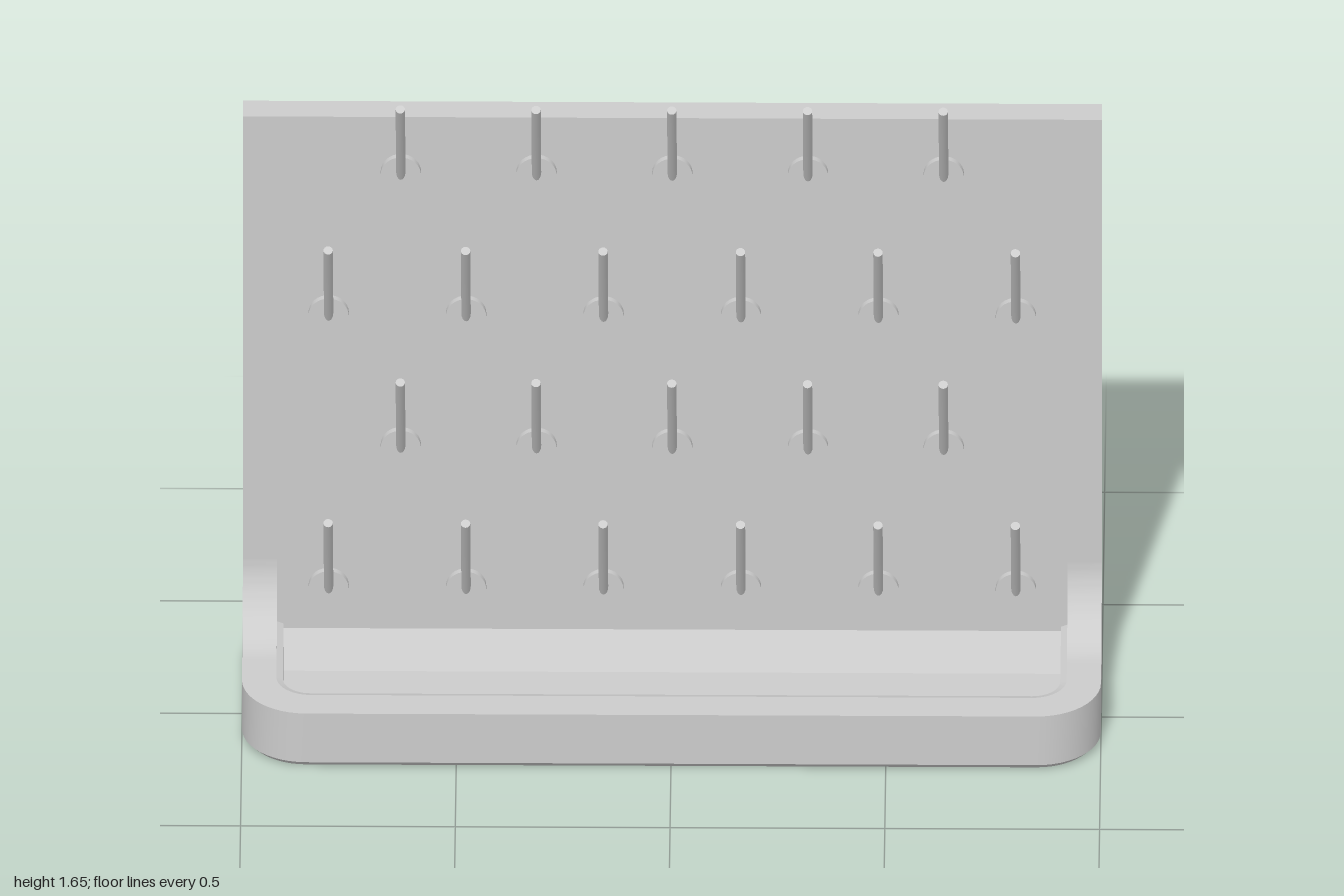
import * as THREE from 'three';
import { toCreasedNormals } from 'three/addons/utils/BufferGeometryUtils.js';

const material = new THREE.MeshStandardMaterial({ color: 0xcccccc });

function addMesh(parent, name, geometry) {
  const mesh = new THREE.Mesh(geometry, material);
  mesh.name = name;
  parent.add(mesh);
  return mesh;
}

// Horizontal outline with square back corners and rounded front corners
function outline(halfX, back, front, radius, y) {
  const points = [new THREE.Vector3(halfX, y, back)];
  const steps = 12;
  for (const side of [0, 1]) {
    for (let i = 0; i <= steps; i++) {
      const a = (side + i / steps) * Math.PI / 2;
      const cx = (side ? -1 : 1) * (halfX - radius);
      points.push(new THREE.Vector3(cx + radius * Math.cos(a), y, front - radius + radius * Math.sin(a)));
    }
  }
  points.push(new THREE.Vector3(-halfX, y, back));
  return points;
}

// Skin over a stack of outlines, closed at both ends by a centre point
function loft(rings, creaseAngle) {
  const n = rings[0].length;
  const first = rings[0][0].y, last = rings[rings.length - 1][0].y;
  const centre = (y) => Array.from({ length: n }, () => new THREE.Vector3(0, y, 0));
  const all = [centre(first), ...rings, centre(last)];
  const index = [];
  for (let r = 0; r < all.length - 1; r++) {
    for (let i = 0; i < n; i++) {
      const j = (i + 1) % n;
      const a = r * n + i, b = a + n, c = r * n + j, d = c + n;
      if (r > 0) index.push(a, b, c);
      if (r < all.length - 2) index.push(c, b, d);
    }
  }
  const geometry = new THREE.BufferGeometry().setFromPoints(all.flat());
  geometry.setIndex(index);
  return toCreasedNormals(geometry, creaseAngle);
}

export function createModel() {
  const model = new THREE.Group();
  model.name = 'pegboardDryingRack';

  // Drip tray: bevelled foot, rounded wall, narrow inner lip, basin with a sloped back
  addMesh(model, 'dripTray', loft([
    outline(0.985, -0.225, 0.225, 0.135, 0),
    outline(1, -0.24, 0.24, 0.15, 0.015),
    outline(1, -0.24, 0.24, 0.15, 0.148),
    outline(0.92, -0.17, 0.157, 0.08, 0.148),
    outline(0.905, -0.17, 0.14, 0.065, 0.142),
    outline(0.905, -0.17, 0.14, 0.065, 0.13),
    outline(0.905, -0.11, 0.14, 0.065, 0.05),
  ], 0.3));

  // Upright back panel
  const panel = addMesh(model, 'backPanel', new THREE.BoxGeometry(2, 1.379, 0.07));
  panel.position.set(0, 0.8375, -0.205);

  // Concave cheeks sweeping from the tray rim up to the panel
  const profile = new THREE.Shape();
  profile.moveTo(0.17, 0.148);
  profile.lineTo(0.17, 0.318);
  profile.absarc(0, 0.318, 0.17, 0, -Math.PI / 2, true);
  profile.lineTo(0.17, 0.148);
  const cheek = toCreasedNormals(
    new THREE.ExtrudeGeometry(profile, { depth: 0.08, bevelEnabled: false, curveSegments: 16 }), 0.5);
  cheek.rotateY(Math.PI / 2);
  for (const [name, x] of [['leftCheek', 0.92], ['rightCheek', -1]]) {
    addMesh(model, name, cheek).position.x = x;
  }

  // Tilted pegs on round flanges, in staggered rows
  const flange = new THREE.CylinderGeometry(0.047, 0.047, 0.02, 32).rotateX(Math.PI / 2);
  const start = new THREE.Vector3(0, -0.016, -0.168);
  const end = new THREE.Vector3(0, 0.27, -0.005);
  const direction = end.clone().sub(start);
  const rod = new THREE.CylinderGeometry(0.011, 0.011, direction.length(), 16);
  rod.rotateX(Math.atan2(direction.z, direction.y));
  rod.translate(0, (start.y + end.y) / 2, (start.z + end.z) / 2);

  const rows = [
    { y: 1.379, count: 5, spacing: 0.316 },
    { y: 0.993, count: 6, spacing: 0.32 },
    { y: 0.633, count: 5, spacing: 0.316 },
    { y: 0.248, count: 6, spacing: 0.32 },
  ];
  for (const { y, count, spacing } of rows) {
    for (let i = 0; i < count; i++) {
      const peg = new THREE.Group();
      peg.name = 'peg';
      peg.position.set((i - (count - 1) / 2) * spacing, y, 0);
      addMesh(peg, 'pegFlange', flange).position.z = -0.164;
      addMesh(peg, 'pegRod', rod);
      model.add(peg);
    }
  }
  return model;
}
